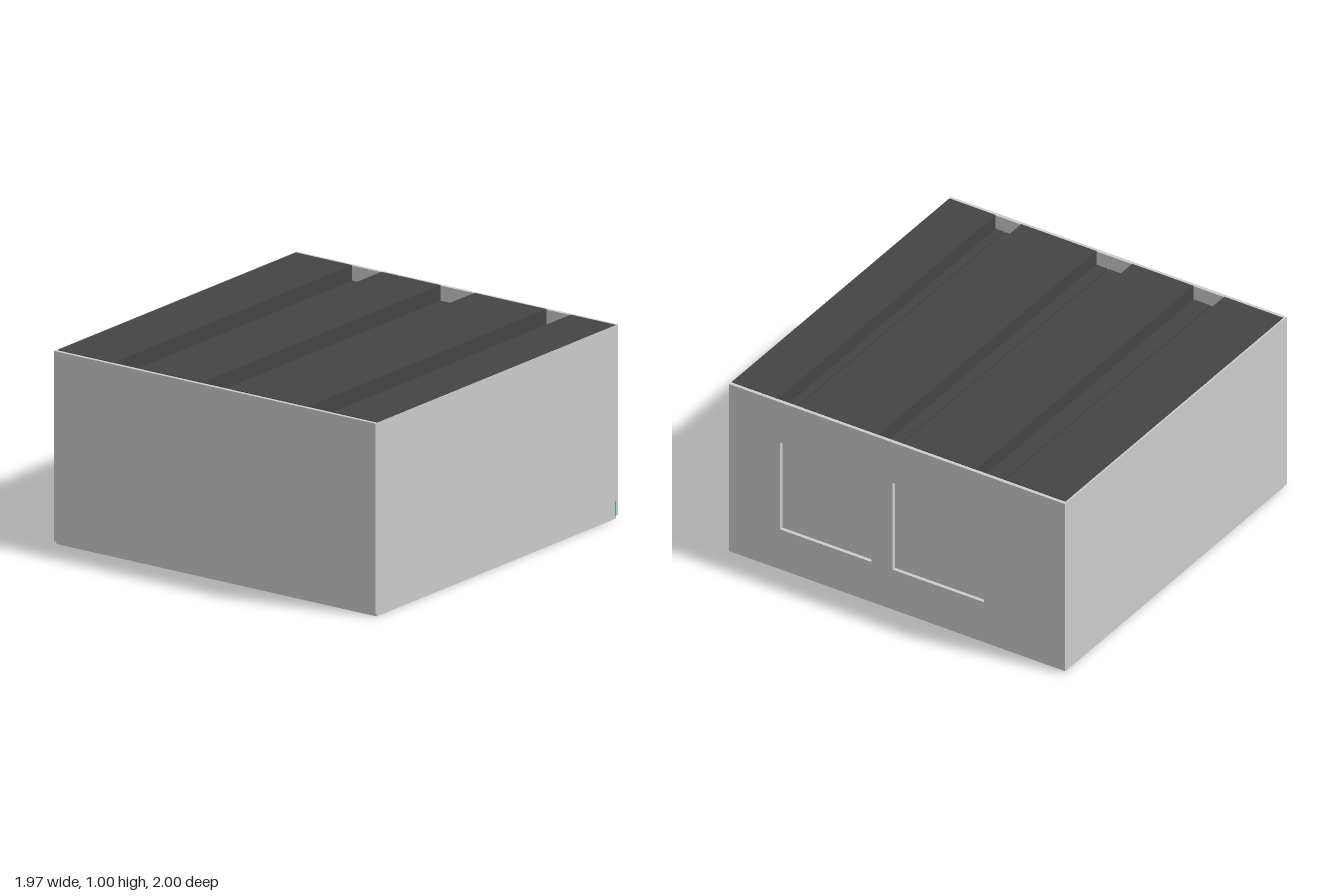
import * as THREE from 'three';

export function createModel() {
  const model = new THREE.Group();
  const grey = new THREE.MeshStandardMaterial({ color: 0xcccccc });
  const dark = new THREE.MeshStandardMaterial({ color: 0x444444 });
  const teal = new THREE.MeshStandardMaterial({ color: 0x2fb5a5 });

  // Box given by its extents along each axis
  const block = (name, [x0, x1], [y0, y1], [z0, z1], material = grey) => {
    const mesh = new THREE.Mesh(new THREE.BoxGeometry(x1 - x0, y1 - y0, z1 - z0), material);
    mesh.position.set((x0 + x1) / 2, (y0 + y1) / 2, (z0 + z1) / 2);
    mesh.name = name;
    model.add(mesh);
  };

  // Base, inner body and the three plain walls
  block('base', [-0.975, 0.985], [0, 0.015], [-0.98, 0.99]);
  block('innerBody', [-0.97, 0.97], [0.015, 0.88], [-0.979, 0.98]);
  block('frontWall', [-0.985, 0.985], [0.015, 0.997], [0.98, 1]);
  block('rightWall', [-0.985, -0.975], [0.015, 0.997], [-0.98, 0.98]);
  block('leftWall', [0.97, 0.985], [0.015, 0.997], [-0.98, 0.98]);
  block('cornerMarker', [0.975, 0.986], [0.015, 0.09], [-0.981, -0.973], teal);

  // Back wall with two square window openings, closed by the inner body
  const wall = new THREE.Shape();
  const rect = (path, x0, x1, y0, y1) =>
    path.moveTo(x0, y0).lineTo(x1, y0).lineTo(x1, y1).lineTo(x0, y1).closePath();
  rect(wall, -0.985, 0.985, 0.015, 0.997);
  for (const x of [-0.51, 0.15]) {
    const hole = new THREE.Path();
    rect(hole, x, x + 0.535, 0.25, 0.76);
    wall.holes.push(hole);
  }
  const backWall = new THREE.Mesh(
    new THREE.ExtrudeGeometry(wall, { depth: 0.02, bevelEnabled: false }), grey);
  backWall.position.z = -1;
  backWall.name = 'backWall';
  model.add(backWall);

  // Raised roof panels, separated by three sunken channels
  const roofZ = [-0.98, 0.98];
  for (const span of [[-0.975, -0.63], [-0.45, -0.09], [0.12, 0.56], [0.71, 0.982]]) {
    block('roofPanel', span, [0.88, 1], roofZ, dark);
  }

  // Channel floors, each split by a narrow slot
  for (const [x0, slot, x1] of [[-0.63, -0.553, -0.45], [-0.09, 0.05, 0.12], [0.56, 0.658, 0.71]]) {
    block('channelFloor', [x0, slot - 0.004], [0.89, 0.92], roofZ, dark);
    block('channelFloor', [slot + 0.004, x1], [0.89, 0.92], roofZ, dark);
    block('slotBottom', [x0, x1], [0.88, 0.89], roofZ, dark);
  }
  return model;
}
